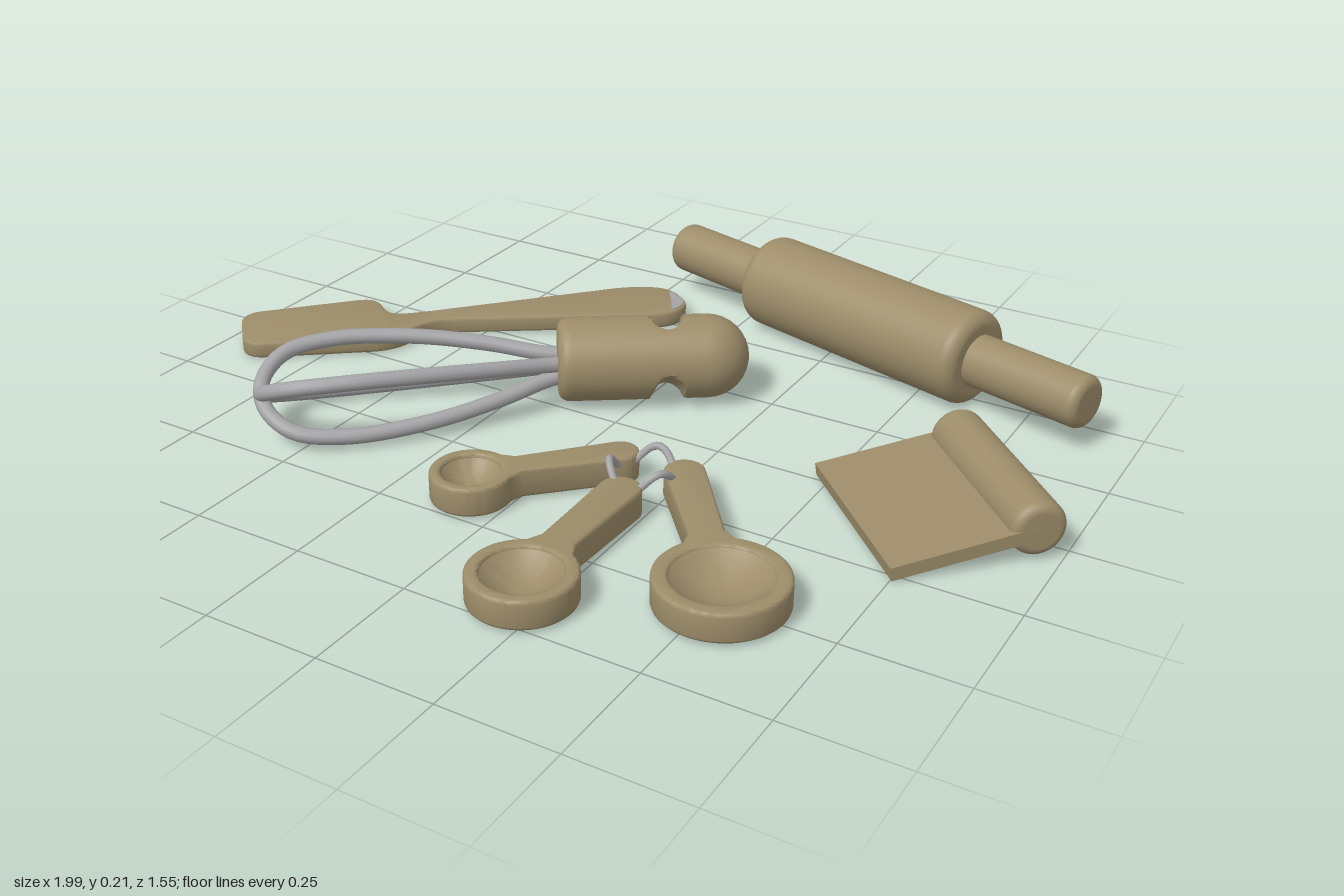
import * as THREE from 'three';
import { toCreasedNormals } from 'three/addons/utils/BufferGeometryUtils.js';

const V = (x, y, z) => new THREE.Vector3(x, y, z);

export function createModel() {
  const group = new THREE.Group();
  const wood = new THREE.MeshStandardMaterial({ color: 0x9c8c69 });
  wood.name = 'tan';
  const metal = new THREE.MeshStandardMaterial({ color: 0xa4a4a6 });
  metal.name = 'steel grey';

  const add = (name, geometry, material = wood, parent = group) => {
    const mesh = new THREE.Mesh(geometry, material);
    mesh.name = name;
    parent.add(mesh);
    return mesh;
  };

  // Round bar from a to b, with rounded edges of size ra and rb
  const rod = (a, b, r, ra, rb = ra, steps = 1) => {
    const length = a.distanceTo(b);
    const pts = [new THREE.Vector2(0, 0)];
    for (let i = 0; i <= 8; i++) {
      const t = (i / 8) * Math.PI / 2;
      pts.push(new THREE.Vector2(r - ra + ra * Math.sin(t), ra - ra * Math.cos(t)));
    }
    for (let i = 1; i < steps; i++) {
      pts.push(new THREE.Vector2(r, ra + (length - ra - rb) * i / steps));
    }
    for (let i = 0; i <= 8; i++) {
      const t = (i / 8) * Math.PI / 2;
      pts.push(new THREE.Vector2(Math.max(0, r - rb + rb * Math.cos(t)), length - rb + rb * Math.sin(t)));
    }
    if (rb < r) pts.push(new THREE.Vector2(0, length));
    const g = new THREE.LatheGeometry(pts, 40);
    const dir = b.clone().sub(a).normalize();
    g.applyQuaternion(new THREE.Quaternion().setFromUnitVectors(V(0, 1, 0), dir));
    return g.translate(a.x, a.y, a.z);
  };

  // Flat slab lying on the ground, from a shape in (x, -z)
  const slab = (shape, y0, y1, bevel) => {
    const g = new THREE.ExtrudeGeometry(shape, {
      depth: y1 - y0 - 2 * bevel, curveSegments: 32, bevelEnabled: bevel > 0,
      bevelSize: bevel, bevelThickness: bevel, bevelOffset: -bevel, bevelSegments: 3,
    });
    g.rotateX(-Math.PI / 2).translate(0, y0 + bevel, 0);
    return toCreasedNormals(g, 0.6);
  };

  // Polygon in (x, z) with rounded corners
  const rounded = (points, r) => {
    const p = points.map(([x, z]) => new THREE.Vector2(x, -z));
    const s = new THREE.Shape();
    p.forEach((c, i) => {
      const toward = (q) => {
        const d = q.clone().sub(c);
        return c.clone().addScaledVector(d, Math.min(0.45, r / d.length()));
      };
      const a = toward(p[(i + p.length - 1) % p.length]);
      const b = toward(p[(i + 1) % p.length]);
      if (i) s.lineTo(a.x, a.y); else s.moveTo(a.x, a.y);
      s.quadraticCurveTo(c.x, c.y, b.x, b.y);
    });
    s.closePath();
    return s;
  };

  // Rolling pin: barrel and one long bar for both handles
  const pin = new THREE.Group();
  pin.name = 'rollingPin';
  group.add(pin);
  add('rollingPinBarrel', rod(V(0.035, 0.108, -0.648), V(0.63, 0.108, -0.478), 0.107, 0.03), wood, pin);
  add('rollingPinHandles', rod(V(-0.23, 0.108, -0.724), V(0.9, 0.108, -0.401), 0.059, 0.02), wood, pin);

  // Spatula with a broad blade and a grey tip
  const spatula = new THREE.Group();
  spatula.name = 'spatula';
  group.add(spatula);
  add('spatulaBody', slab(rounded([
    [-1.01, 0.05], [-0.89, 0.18], [-0.62, -0.03], [-0.6, -0.155], [-0.13, -0.475],
    [-0.12, -0.55], [-0.21, -0.61], [-0.3, -0.565], [-0.665, -0.16], [-0.71, -0.13], [-0.79, -0.19],
  ], 0.05), 0.004, 0.042, 0.006), wood, spatula);
  add('spatulaTip', slab(rounded([
    [-0.205, -0.593], [-0.13, -0.55], [-0.135, -0.485], [-0.16, -0.53],
  ], 0.03), 0.002, 0.044, 0), metal, spatula);

  // Whisk handle with two opposite scoops
  const whisk = new THREE.Group();
  whisk.name = 'whisk';
  group.add(whisk);
  const start = V(-0.166, 0.098, -0.03);
  const axis = V(0.825, 0, -0.566).normalize();
  const grip = rod(start, start.clone().addScaledVector(axis, 0.42), 0.092, 0.025, 0.092, 40);
  const scoop = V(-0.29, 0.85, -0.42).normalize();
  const pos = grip.attributes.position;
  for (let i = 0; i < pos.count; i++) {
    const p = V(0, 0, 0).fromBufferAttribute(pos, i);
    const t = p.clone().sub(start).dot(axis);
    const radial = p.clone().sub(start).addScaledVector(axis, -t);
    if (radial.length() < 0.06) continue;
    const h = Math.abs(radial.dot(scoop));
    const limit = 0.09 - 0.038 * Math.sqrt(Math.max(0, 1 - ((t - 0.24) / 0.035) ** 2));
    if (Math.abs(t - 0.24) < 0.035 && h > limit) {
      p.addScaledVector(scoop, -Math.sign(radial.dot(scoop)) * (h - limit));
      pos.setXYZ(i, p.x, p.y, p.z);
    }
  }
  add('whiskHandle', toCreasedNormals(grip, 0.7), wood, whisk);

  // Two crossed wire loops
  const half = [[-0.05, 0.02], [0.02, 0.03], [0.14, 0.066], [0.3, 0.1], [0.47, 0.112], [0.575, 0.092], [0.625, 0.045]];
  const outline = [...half, [0.637, 0], ...half.map(([u, w]) => [u, -w]).reverse()];
  for (const tilt of [-0.55, 0.55]) {
    const path = outline.map(([u, w]) => V(
      -0.16 - 0.72 * u + 0.69 * w, 0.09 + tilt * w, -0.02 + 0.69 * u + 0.72 * w));
    add('whiskWire', new THREE.TubeGeometry(new THREE.CatmullRomCurve3(path), 90, 0.017, 12), metal, whisk);
  }

  // Dough scraper: round grip and sloping blade
  const scraper = new THREE.Group();
  scraper.name = 'scraper';
  group.add(scraper);
  add('scraperGrip', rod(V(0.678, 0.066, -0.224), V(0.962, 0.066, 0.066), 0.057, 0.02), wood, scraper);
  const blade = new THREE.BoxGeometry(0.405, 0.028, 0.3);
  blade.rotateX(0.15).translate(0, 0.04, 0.148).rotateY(-Math.PI / 4);
  add('scraperBlade', blade.translate(0.82, 0, -0.078), wood, scraper);

  // Measuring spoons: [bowl x, bowl z, bowl radius, handle end x, handle end z, half width]
  const spoons = new THREE.Group();
  spoons.name = 'measuringSpoons';
  group.add(spoons);
  const bottom = 0.006, top = 0.068, bevel = 0.007;
  for (const [x, z, r, ex, ez, w] of [
    [-0.08, 0.42, 0.084, 0.158, 0.172, 0.038],
    [0.207, 0.67, 0.106, 0.207, 0.285, 0.044],
    [0.522, 0.5, 0.129, 0.255, 0.17, 0.042],
  ]) {
    const spoon = new THREE.Group();
    spoon.name = 'measuringSpoon';
    spoon.position.set(x, 0, z);
    spoon.rotation.y = Math.atan2(x - ex, z - ez);
    spoons.add(spoon);
    const length = Math.hypot(ex - x, ez - z);
    const a = Math.asin((w + 0.008) / r);
    const s = new THREE.Shape();
    s.absarc(0, 0, r, Math.PI / 2 + a, Math.PI * 2.5 - a, false);
    s.lineTo(w * 0.85, r * 1.15);
    s.lineTo(w, length - w);
    s.absarc(0, length - w, w, 0, Math.PI, false);
    s.lineTo(-w * 0.85, r * 1.15);
    s.closePath();
    const rim = r * 0.8;
    s.holes.push(new THREE.Path().absarc(0, 0, rim - bevel, 0, Math.PI * 2, true));
    add('spoonBody', slab(s, bottom, top, bevel), wood, spoon);
    // Hollow of the bowl with its closed underside
    const pts = [new THREE.Vector2(0, bottom), new THREE.Vector2(rim, bottom)];
    for (let i = 0; i <= 12; i++) {
      const k = 1 - i / 12;
      pts.push(new THREE.Vector2(rim * k, top - 0.045 * (1 - k * k)));
    }
    add('spoonBowl', toCreasedNormals(new THREE.LatheGeometry(pts, 40), 0.6), wood, spoon);
  }

  // Wavy wire ring joining the spoons
  const ring = [];
  for (let i = 0; i < 24; i++) {
    const t = (i / 24) * Math.PI * 2;
    ring.push(V(0.21 + 0.066 * Math.cos(t), 0.066 + 0.022 * Math.sin(3 * t), 0.245 + 0.066 * Math.sin(t)));
  }
  add('spoonRing', new THREE.TubeGeometry(new THREE.CatmullRomCurve3(ring, true), 72, 0.008, 8, true), metal, spoons);

  return group;
}
